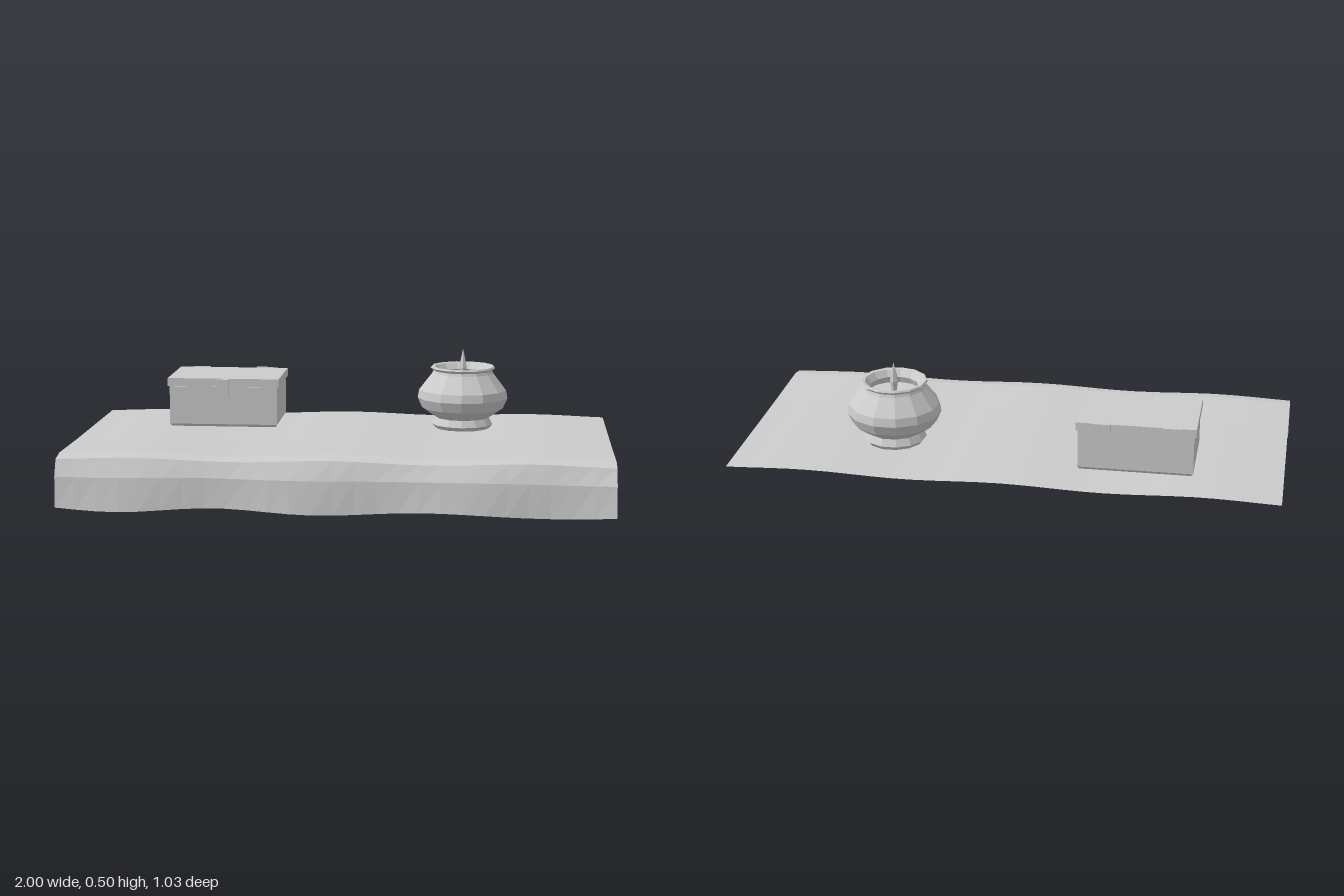
import * as THREE from 'three';

const stone = new THREE.MeshStandardMaterial({ color: 0xcccccc, side: THREE.DoubleSide });
stone.name = 'plain grey';

// Faceted normals for a low-poly finish
function faceted(geometry) {
  const g = geometry.index ? geometry.toNonIndexed() : geometry;
  g.computeVertexNormals();
  return g;
}

function part(name, geometry, x = 0, y = 0, z = 0) {
  const mesh = new THREE.Mesh(faceted(geometry), stone);
  mesh.name = name;
  mesh.position.set(x, y, z);
  return mesh;
}

// Box given by its lower and upper limits
function block(name, [x0, y0, z0], [x1, y1, z1]) {
  return part(name, new THREE.BoxGeometry(x1 - x0, y1 - y0, z1 - z0),
    (x0 + x1) / 2, (y0 + y1) / 2, (z0 + z1) / 2);
}

const lathe = (points, sides) =>
  new THREE.LatheGeometry(points.map(([r, y]) => new THREE.Vector2(r, y)), sides);

// Draped cloth: flat top with soft ripples and a wavy hanging front
function cloth() {
  const profile = [[-0.52, 0.2], [-0.2, 0.2], [0.12, 0.2], [0.4, 0.203],
    [0.46, 0.191], [0.49, 0.13], [0.503, 0.016]];
  const columns = 26, rows = profile.length - 1;
  const g = new THREE.PlaneGeometry(2, 1, columns, rows);
  const p = g.attributes.position;
  for (let i = 0; i < p.count; i++) {
    const x = p.getX(i);
    const row = Math.floor(i / (columns + 1));
    const [z, y] = profile[row];
    const hang = Math.max(0, row - 4) / 2;
    const wave = Math.cos((x + 0.15) * 10.3);
    const ripple = 0.005 * Math.sin((x + 0.9) * 8.8) * (1 - hang);
    const hem = -0.008 * Math.cos((x + 0.8) * 8) * hang;
    p.setXYZ(i, x, y + ripple + hem, z + 0.011 * wave * hang);
  }
  return part('cloth', g);
}

// Chest with bevelled foot, overhanging lid, latch and two hinges
function chest() {
  const group = new THREE.Group();
  group.name = 'chest';
  const body = new THREE.BoxGeometry(0.415, 0.155, 0.295, 1, 2, 1);
  const p = body.attributes.position;
  for (let i = 0; i < p.count; i++) {
    if (Math.abs(p.getY(i)) < 0.01) p.setY(i, -0.068);
    else if (p.getY(i) < 0) {
      p.setX(i, p.getX(i) * 0.97);
      p.setZ(i, p.getZ(i) * 0.96);
    }
  }
  group.add(part('chestBody', body, -0.4725, 0.2925, -0.2275));
  group.add(block('lid', [-0.688, 0.37, -0.386], [-0.258, 0.401, -0.084]));
  group.add(block('latch', [-0.5, 0.33, -0.086], [-0.45, 0.4, -0.066]));
  for (const x of [-0.602, -0.35])
    group.add(block('hinge', [x - 0.033, 0.367, -0.396], [x + 0.033, 0.403, -0.376]));
  return group;
}

// Round-bellied oil lamp, open at the top, with a pointed flame
function lamp() {
  const group = new THREE.Group();
  group.name = 'lamp';
  group.position.set(0.443, 0, -0.2);
  group.add(part('lampPot', lathe([
    [0, 0.207], [0.105, 0.207], [0.117, 0.222], [0.103, 0.248], [0.118, 0.258],
    [0.157, 0.286], [0.174, 0.325], [0.168, 0.356], [0.118, 0.42], [0.114, 0.43],
    [0.125, 0.44], [0.121, 0.446], [0.108, 0.444], [0.09, 0.42], [0.1, 0.395], [0, 0.39],
  ], 13)));
  group.add(part('flame', lathe([[0, 0.39], [0.009, 0.395], [0.016, 0.44], [0.009, 0.475], [0, 0.513]], 6)));
  return group;
}

export function createModel() {
  const model = new THREE.Group();
  model.name = 'clothWithChestAndLamp';
  model.add(cloth(), chest(), lamp());
  return model;
}
